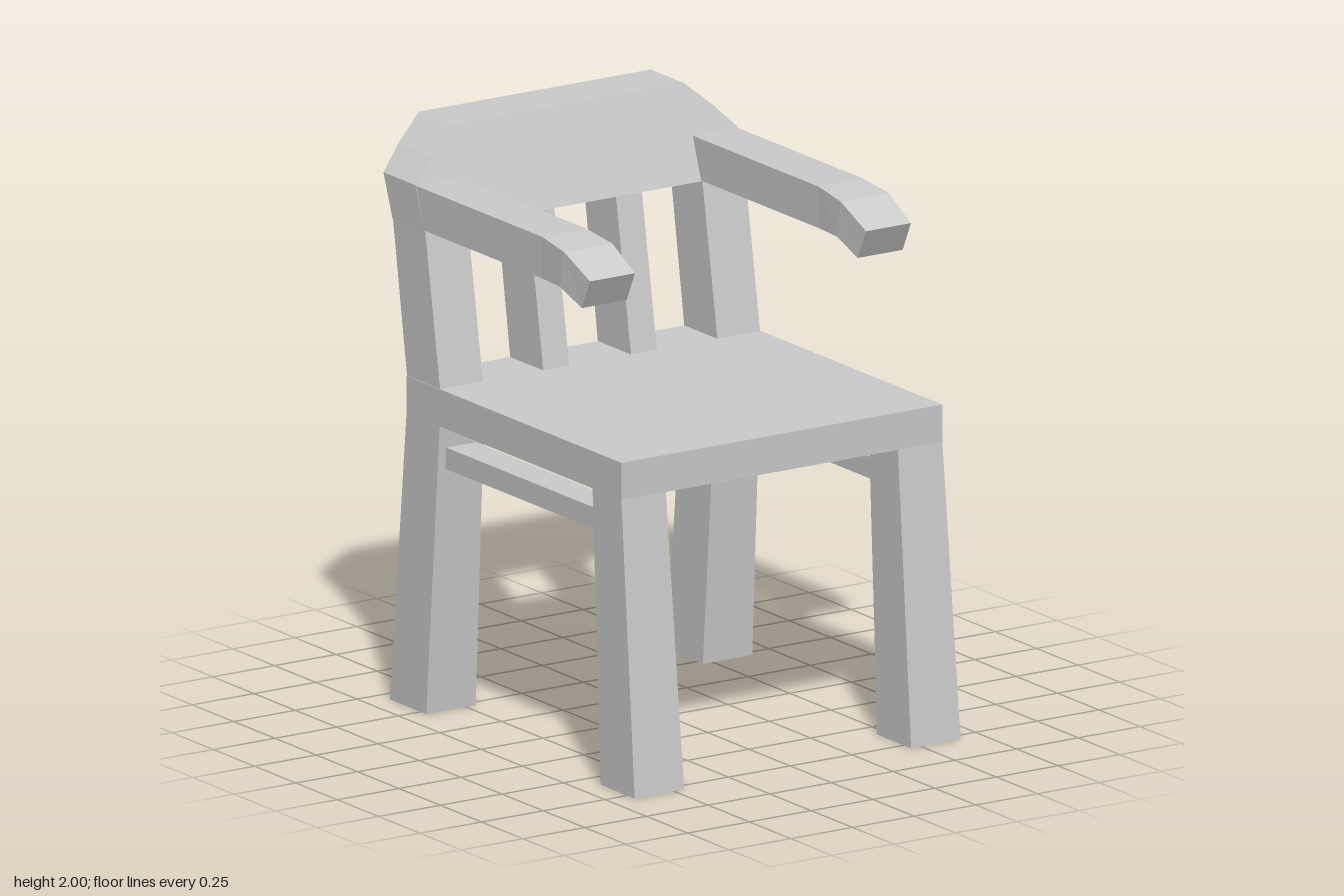
import * as THREE from 'three';

const material = new THREE.MeshStandardMaterial({ color: 0xcccccc, flatShading: true });

// Beam through four-cornered sections [x0, x1, [y, z], [y, z]],
// corners counter-clockwise about the direction of travel.
function beam(sections) {
  const rings = sections.map(([x0, x1, p, q]) => [
    [x0, ...p], [x1, ...p], [x1, ...q], [x0, ...q],
  ]);
  const pos = [];
  const quad = (a, b, c, d) => pos.push(...a, ...b, ...c, ...a, ...c, ...d);
  for (let s = 0; s < rings.length - 1; s++) {
    const lo = rings[s], hi = rings[s + 1];
    for (let i = 0; i < 4; i++) {
      const j = (i + 1) % 4;
      quad(lo[i], lo[j], hi[j], hi[i]);
    }
  }
  const first = rings[0], last = rings[rings.length - 1];
  quad(first[3], first[2], first[1], first[0]);
  quad(last[0], last[1], last[2], last[3]);
  const geo = new THREE.BufferGeometry();
  geo.setAttribute('position', new THREE.Float32BufferAttribute(pos, 3));
  geo.computeVertexNormals();
  return geo;
}

export function createModel() {
  const model = new THREE.Group();
  model.name = 'armchair';

  const add = (name, geo) => {
    const mesh = new THREE.Mesh(geo, material);
    mesh.name = name;
    model.add(mesh);
    return mesh;
  };

  // Left (+x) and right (-x) copies of a beam
  const addPair = (name, sections) => {
    add('left' + name, beam(sections));
    add('right' + name, beam(sections.map(([x0, x1, p, q]) => [-x1, -x0, p, q])));
  };

  // Seat slab
  add('seat', new THREE.BoxGeometry(1.3, 0.13, 1.3)).position.set(0, 1.085, 0.05);

  // Splayed legs
  addPair('FrontLeg', [
    [0.46, 0.66, [0, 0.795], [0, 0.59]],
    [0.47, 0.65, [1.02, 0.7], [1.02, 0.525]],
  ]);
  addPair('BackLeg', [
    [0.46, 0.66, [0, -0.465], [0, -0.685]],
    [0.47, 0.65, [1.02, -0.4], [1.02, -0.6]],
  ]);

  // Side stretchers
  addPair('Stretcher', [
    [0.5, 0.62, [0.865, -0.42], [0.94, -0.42]],
    [0.5, 0.62, [0.865, 0.55], [0.94, 0.55]],
  ]);

  // Leaning back posts and slats
  for (const [name, x0, x1] of [['BackPost', 0.475, 0.648], ['BackSlat', 0.125, 0.23]]) {
    addPair(name, [
      [x0, x1, [1.15, -0.4], [1.15, -0.6]],
      [x0, x1, [1.68, -0.49], [1.68, -0.685]],
    ]);
  }

  // Top rail with cut corners, sheared to the lean of the back
  const half = [[0.65, 1.68], [0.652, 1.83], [0.575, 1.91], [0.47, 2]];
  const outline = [...half, ...half.map(([x, y]) => [-x, y]).reverse()];
  const rail = new THREE.ExtrudeGeometry(
    new THREE.Shape(outline.map(([x, y]) => new THREE.Vector2(x, y))),
    { depth: 0.195, bevelEnabled: false },
  );
  const pos = rail.attributes.position;
  for (let i = 0; i < pos.count; i++) {
    pos.setZ(i, pos.getZ(i) - 0.685 - (pos.getY(i) - 1.68) * 0.344);
  }
  rail.computeVertexNormals();
  add('topRail', rail);

  // Armrests, drooping at the tips
  addPair('Armrest', [
    [0.47, 0.65, [1.683, -0.53], [1.828, -0.56]],
    [0.47, 0.65, [1.683, 0.22], [1.828, 0.22]],
    [0.463, 0.658, [1.683, 0.34], [1.81, 0.365]],
    [0.468, 0.65, [1.635, 0.46], [1.74, 0.51]],
  ]);

  return model;
}
